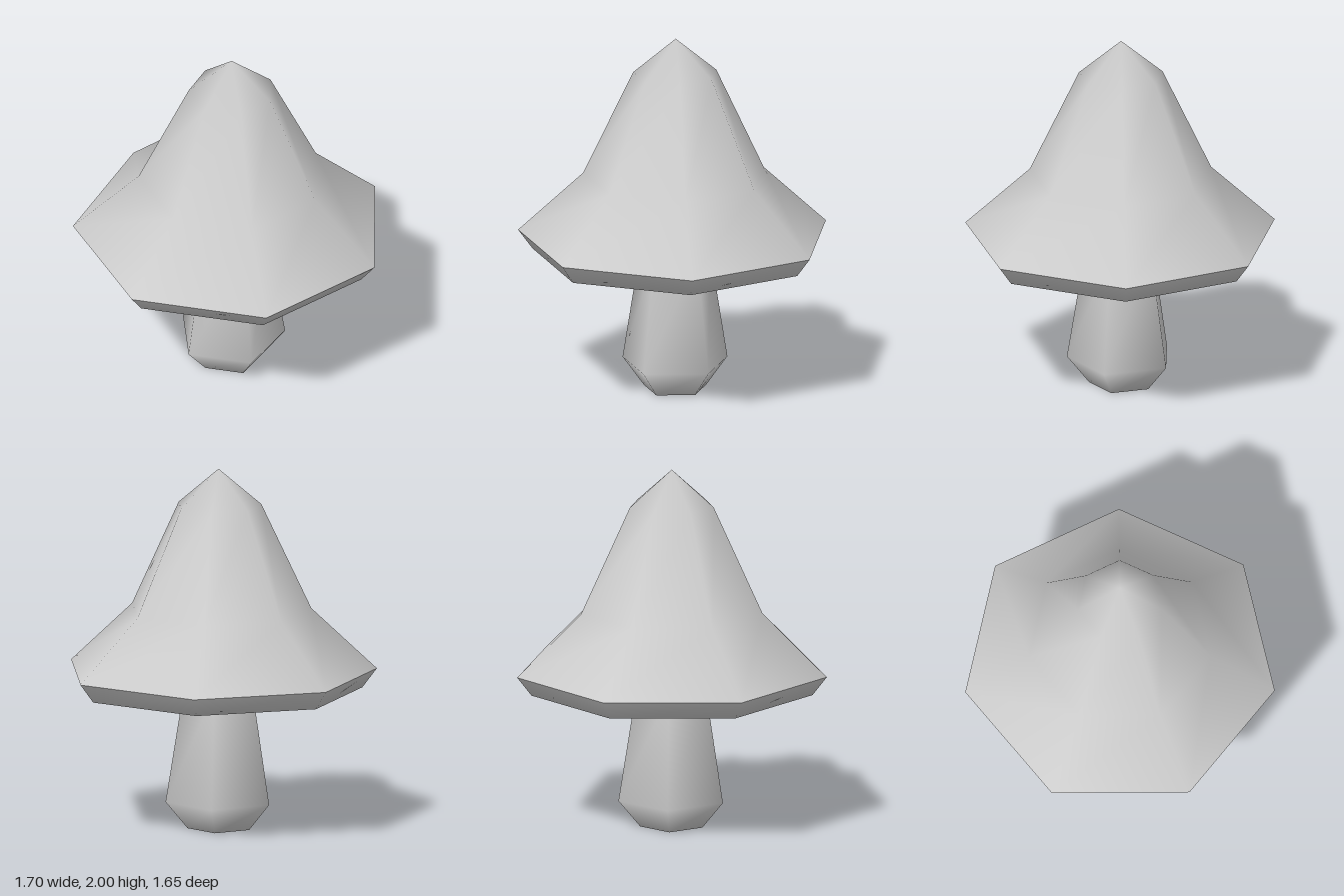
import * as THREE from 'three';

// Smooth faceted shell from [radius, y] rings, bottom to top; a corner points to the back.
// closeBase fills the lowest ring, tip adds a point at that height.
function shell(sides, rings, { closeBase = false, tip = null } = {}) {
  const pos = [], index = [];
  for (const [r, y] of rings) {
    for (let j = 0; j < sides; j++) {
      const a = Math.PI + (j / sides) * Math.PI * 2;
      pos.push(r * Math.sin(a), y, r * Math.cos(a));
    }
  }
  for (let i = 0; i < rings.length - 1; i++) {
    for (let j = 0; j < sides; j++) {
      const a = i * sides + j, b = i * sides + (j + 1) % sides;
      index.push(a, b, b + sides, a, b + sides, a + sides);
    }
  }
  if (closeBase) {
    for (let j = 1; j < sides - 1; j++) index.push(0, j + 1, j);
  }
  if (tip !== null) {
    const top = (rings.length - 1) * sides, apex = rings.length * sides;
    pos.push(0, tip, 0);
    for (let j = 0; j < sides; j++) index.push(top + j, top + (j + 1) % sides, apex);
  }
  const geo = new THREE.BufferGeometry();
  geo.setAttribute('position', new THREE.Float32BufferAttribute(pos, 3));
  geo.setIndex(index);
  geo.computeVertexNormals();
  return geo;
}

export function createModel() {
  const group = new THREE.Group();
  group.name = 'mushroom';
  const grey = new THREE.MeshStandardMaterial({ color: 0xcccccc });
  grey.name = 'lightGrey';

  const add = (name, geometry, x) => {
    const mesh = new THREE.Mesh(geometry, grey);
    mesh.name = name;
    mesh.position.set(x, 0, 0.04);
    group.add(mesh);
  };

  // Five-sided stem with a bulge near the foot
  add('stem', shell(5, [[0.18, 0], [0.302, 0.15], [0.2, 0.78]], { closeBase: true }), -0.008);

  // Seven-sided bell cap, with a crisp edge between the top and the rim
  add('capTop', shell(7, [[0.87, 0.875], [0.51, 1.215], [0.235, 1.8]], { tip: 2 }), 0);
  add('capUnderside', shell(7, [[0.79, 0.77], [0.87, 0.875]], { closeBase: true }), 0);

  return group;
}
